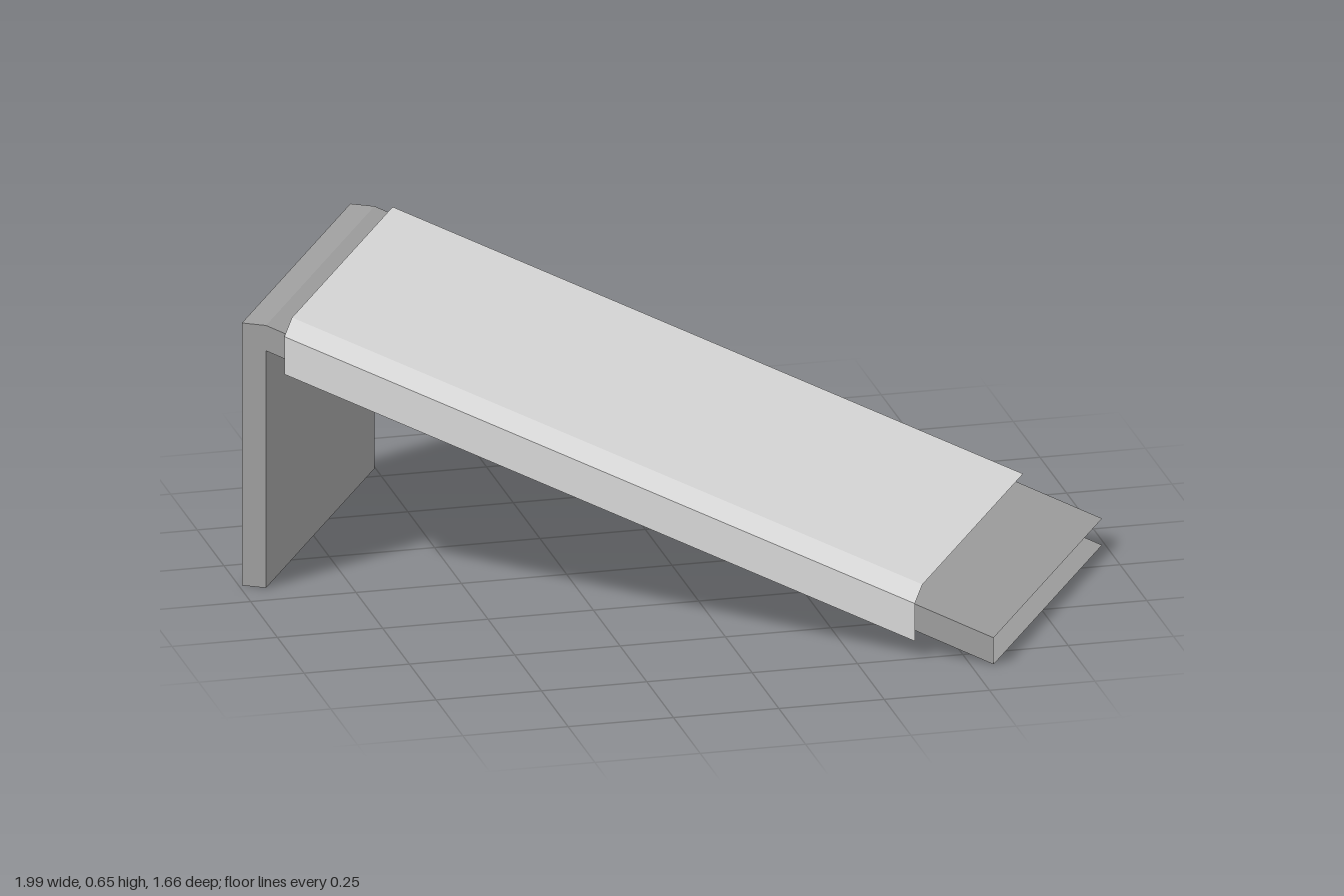
import * as THREE from 'three';

// Sheet of flat quads spanning two matching lines of points
function loft(a, b) {
  const pos = [];
  for (let i = 0; i < a.length - 1; i++) {
    for (const p of [a[i], a[i + 1], b[i + 1], a[i], b[i + 1], b[i]]) pos.push(...p);
  }
  const g = new THREE.BufferGeometry();
  g.setAttribute('position', new THREE.Float32BufferAttribute(pos, 3));
  g.computeVertexNormals();
  return g;
}

export function createModel() {
  const model = new THREE.Group();
  model.name = 'ramp';
  const frameGrey = new THREE.MeshStandardMaterial({ color: 0xa0a0a0, side: THREE.DoubleSide });
  frameGrey.name = 'frame grey';
  const deckGrey = new THREE.MeshStandardMaterial({ color: 0xdcdcdc, side: THREE.DoubleSide });
  deckGrey.name = 'deck light grey';

  const ramp = new THREE.Group();
  ramp.name = 'rampBody';
  ramp.rotation.y = THREE.MathUtils.degToRad(-31.4);
  model.add(ramp);
  const add = (name, geometry, material) => {
    const mesh = new THREE.Mesh(geometry, material);
    mesh.name = name;
    ramp.add(mesh);
    return mesh;
  };

  // Frame sheets: outer skin over the leg and slope, inner skin below
  const half = 0.4225;
  const outer = [[-0.905, 0], [-0.905, 0.642], [-0.847, 0.642], [0.905, 0.065]];
  const inner = [[0.905, 0], [-0.847, 0.58], [-0.847, 0]];
  const at = (line, z) => line.map(([x, y]) => [x, y, z]);
  add('outerSkin', loft(at(outer, half), at(outer, -half)), frameGrey);
  add('innerSkin', loft(at(inner, half), at(inner, -half)), frameGrey);

  // Side wall closing one side only; the other side and both ends stay open
  const profile = new THREE.Shape([...outer, ...inner].map(([x, y]) => new THREE.Vector2(x, y)));
  add('sideWall', new THREE.ShapeGeometry(profile), frameGrey).position.z = half;

  // Raised deck: hanging skirt, bevel and flat top, open at the ends
  const section = (x, y) => [
    [x, y - 0.118, 0.432], [x, y - 0.026, 0.432], [x, y, 0.372], [x, y, -0.412],
  ];
  add('deck', loft(section(0.718, 0.158), section(-0.8, 0.649)), deckGrey);

  return model;
}
